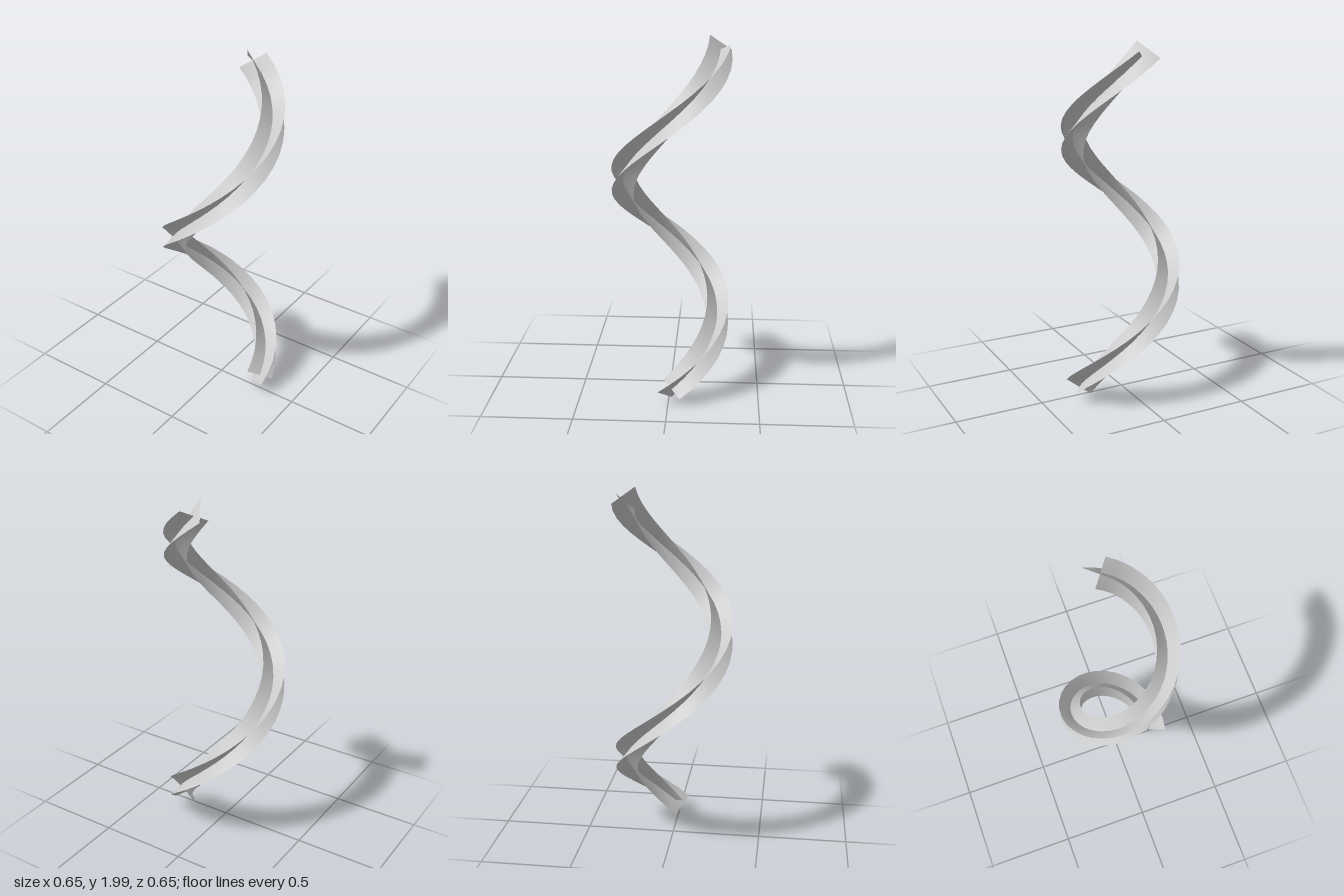
import * as THREE from 'three';

const END = Math.PI * 2.5;   // one and a quarter turns
const PITCH = 1.5;           // rise per turn
const INNER = 0.207, OUTER = 0.327;
const SEGMENTS = 40;

// Point on a helix of given radius; lift shifts the whole helix up or down
function helixPoint(radius, lift, t) {
  return new THREE.Vector3(
    radius * Math.cos(t),
    0.0625 + lift + PITCH * t / (2 * Math.PI),
    -radius * Math.sin(t));
}

// Ruled ribbon between an inner and an outer helix edge.
// Each edge: { radius, lift, start, end }
function ribbon(name, inner, outer, material) {
  const across = 2, positions = [], index = [];
  for (let i = 0; i <= SEGMENTS; i++) {
    const u = i / SEGMENTS;
    const [a, b] = [inner, outer].map(e =>
      helixPoint(e.radius, e.lift, THREE.MathUtils.lerp(e.start, e.end, u)));
    for (let j = 0; j <= across; j++) {
      positions.push(...a.clone().lerp(b, j / across).toArray());
    }
  }
  const row = across + 1;
  for (let i = 0; i < SEGMENTS; i++) {
    for (let j = 0; j < across; j++) {
      const p = i * row + j;
      index.push(p, p + 1, p + row, p + 1, p + row + 1, p + row);
    }
  }
  const geometry = new THREE.BufferGeometry();
  geometry.setAttribute('position', new THREE.Float32BufferAttribute(positions, 3));
  geometry.setIndex(index);
  geometry.computeVertexNormals();
  const mesh = new THREE.Mesh(geometry, material);
  mesh.name = name;
  return mesh;
}

export function createModel() {
  const group = new THREE.Group();
  group.name = 'crossSectionHelix';
  const material = new THREE.MeshStandardMaterial({ color: 0xcccccc, side: THREE.DoubleSide });

  // Ribbon rising towards the outside
  group.add(ribbon('outwardRisingRibbon',
    { radius: INNER, lift: -0.08, start: 0.085, end: END + 0.14 },
    { radius: OUTER, lift: 0.0635, start: -0.17, end: END - 0.2 }, material));

  // Ribbon rising towards the inside, crossing the first to form an X section
  group.add(ribbon('inwardRisingRibbon',
    { radius: INNER, lift: 0.08, start: -0.14, end: END - 0.085 },
    { radius: OUTER, lift: -0.0635, start: 0.2, end: END + 0.17 }, material));

  return group;
}
